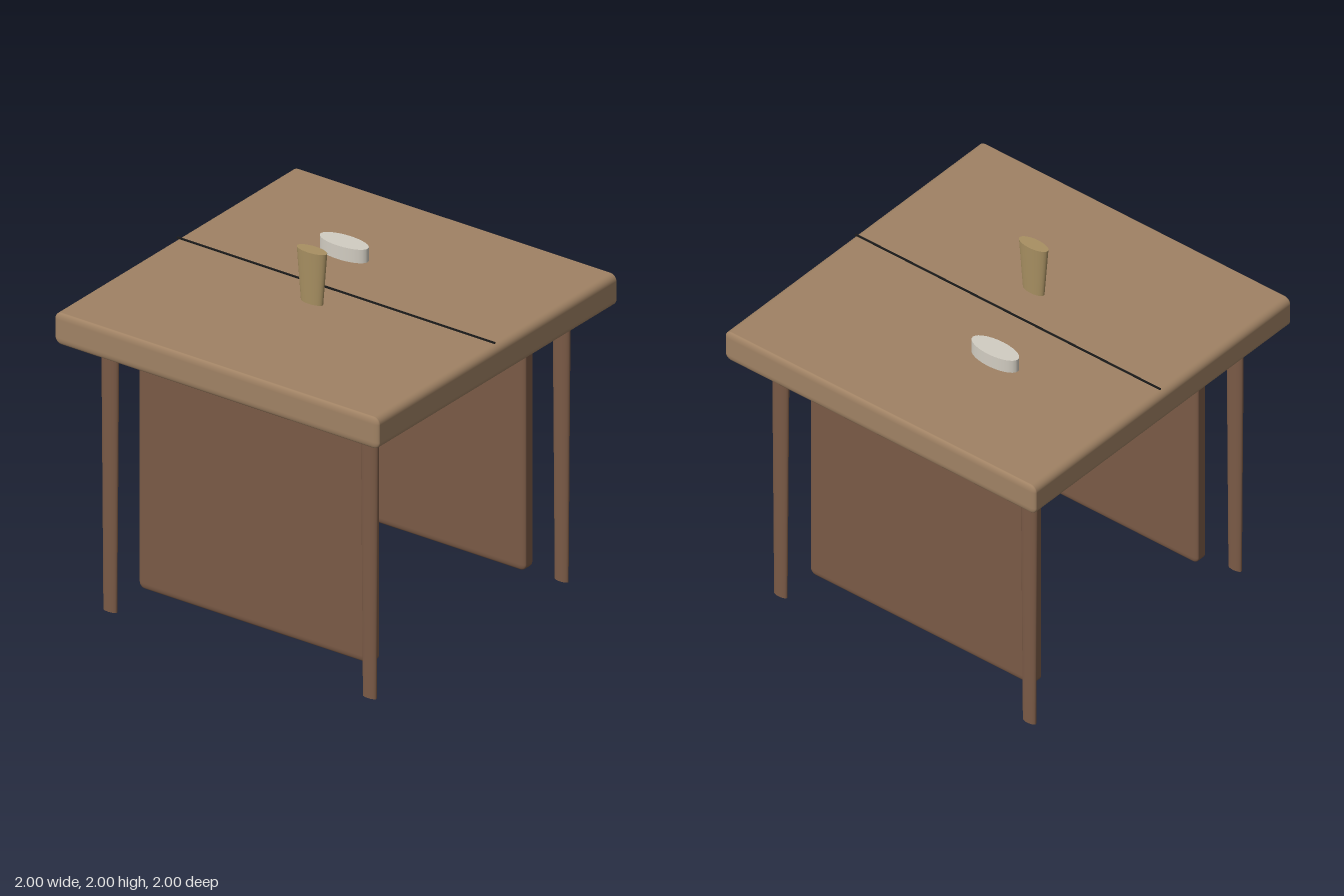
import * as THREE from 'three';
import { RoundedBoxGeometry } from 'three/addons/geometries/RoundedBoxGeometry.js';

const SQUASH = 0.42; // the whole design is narrowed along x

const material = (color) => new THREE.MeshStandardMaterial({ color });
const topWood = material(0xa08264);
const darkWood = material(0x7a5a46);
const black = material(0x1a1a1a);
const amber = material(0xa89062);
const ivory = material(0xd2cdc2);

export function createModel() {
  const group = new THREE.Group();

  function add(name, geometry, mat, x, y, z) {
    const mesh = new THREE.Mesh(geometry, mat);
    mesh.name = name;
    mesh.position.set(x, y, z);
    group.add(mesh);
    return mesh;
  }

  // Rounded slab whose edge radius is narrowed along x
  function slab(w, h, d, r) {
    return new RoundedBoxGeometry(w / SQUASH, h, d, 4, r).scale(SQUASH, 1, 1);
  }

  // Oval, optionally tapered, upright cylinder
  function oval(topR, bottomR, h, segments) {
    return new THREE.CylinderGeometry(topR, bottomR, h, segments).scale(SQUASH, 1, 1);
  }

  // Table top
  add('tableTop', slab(2, 0.175, 2, 0.038), topWood, 0, 1.5925, 0);

  // Side panels and the four tapered legs
  for (const [side, sx] of [['left', 1], ['right', -1]]) {
    add(side + 'Panel', slab(0.075, 1.41, 1.44, 0.035), darkWood, sx * 0.6385, 0.805, 0);
    for (const [end, sz] of [['Front', 1], ['Back', -1]]) {
      add(side + end + 'Leg', oval(0.053, 0.041, 1.48, 20), darkWood, sx * 0.8, 0.74, sz * 0.8);
    }
  }

  // Thin centre line hovering just over the top
  add('centreLine', new THREE.BoxGeometry(0.008, 0.008, 1.96), black, 0, 1.694, 0);

  // Tapered cup and low dish
  add('cup', oval(0.09, 0.066, 0.29, 24), amber, -0.2, 1.855, 0);
  add('dish', oval(0.145, 0.145, 0.075, 28), ivory, 0.34, 1.7325, -0.2);

  return group;
}
